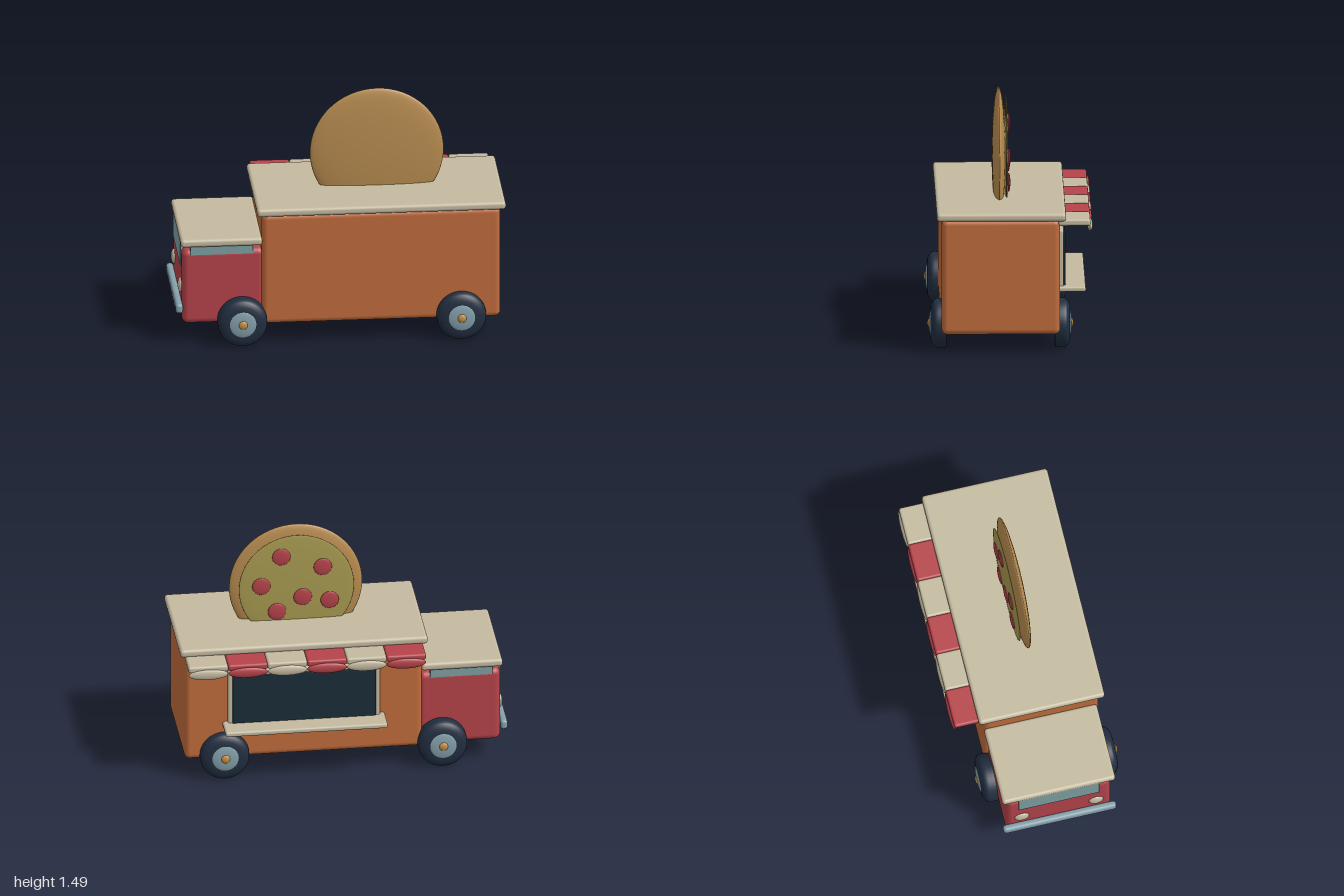
import * as THREE from 'three';
import { RoundedBoxGeometry } from 'three/addons/geometries/RoundedBoxGeometry.js';

const mat = (color) => new THREE.MeshStandardMaterial({ color });
const M = {
  orange: mat(0xc06c3c), red: mat(0xb5434a), cream: mat(0xc4baa0), glass: mat(0x7fa0a2),
  dark: mat(0x1a2e38), tyre: mat(0x212e40), metal: mat(0x85a0aa), gold: mat(0xc88f45),
  crust: mat(0xb88c50), cheese: mat(0xa89a50),
};

// Rounded box given by its extents [min, max] on each axis
function slab(name, material, [x0, x1], [y0, y1], [z0, z1], radius) {
  const mesh = new THREE.Mesh(new RoundedBoxGeometry(x1 - x0, y1 - y0, z1 - z0, 4, radius), material);
  mesh.position.set((x0 + x1) / 2, (y0 + y1) / 2, (z0 + z1) / 2);
  mesh.name = name;
  return mesh;
}

// Ellipsoid given by centre and half-sizes
function blob(name, material, centre, radii, segments = 32) {
  const mesh = new THREE.Mesh(new THREE.SphereGeometry(1, segments, segments / 2), material);
  mesh.position.set(...centre);
  mesh.scale.set(...radii);
  mesh.name = name;
  return mesh;
}

// Wheel with its axle along z and its outer side at +z
function makeWheel() {
  const wheel = new THREE.Group();
  wheel.name = 'wheel';
  const profile = [[0, 0], [0.149, 0], [0.149, 0], [0.15, 0.045], [0.147, 0.066], [0.138, 0.073],
    [0.13, 0.08], [0.11, 0.09], [0.08, 0.094], [0, 0.094]].map(([r, h]) => new THREE.Vector2(r, h));
  const tyre = new THREE.Mesh(new THREE.LatheGeometry(profile, 48), M.tyre);
  tyre.rotation.x = Math.PI / 2;
  tyre.name = 'tyre';
  wheel.add(tyre,
    blob('rim', M.metal, [0, 0, 0.086], [0.09, 0.09, 0.018]),
    blob('hubCap', M.gold, [0, 0, 0.1], [0.028, 0.028, 0.014], 16));
  return wheel;
}

// Round pizza sign standing on the roof, toppings towards the serving side
function makePizza() {
  const pizza = new THREE.Group();
  pizza.name = 'pizzaSign';
  pizza.position.set(0.245, 1.09, 0);
  pizza.add(
    blob('crust', M.crust, [0, 0, 0.06], [0.405, 0.405, 0.042], 64),
    blob('cheese', M.cheese, [0, 0, 0.016], [0.35, 0.35, 0.013], 64));
  const spots = [[0.094, 0.216], [0.216, 0.025], [-0.158, 0.135], [-0.036, -0.06], [-0.2, -0.09], [0.12, -0.15]];
  for (const [x, y] of spots) pizza.add(blob('pepperoni', M.red, [x, y, 0.001], [0.056, 0.056, 0.01], 24));
  return pizza;
}

// Striped awning with a hanging scallop on each stripe
function makeAwning() {
  const awning = new THREE.Group();
  awning.name = 'awning';
  const width = 1.445 / 6;
  for (let i = 0; i < 6; i++) {
    const x = -0.48 + i * width;
    const material = i % 2 ? M.cream : M.red;
    awning.add(
      slab('awningStripe', material, [x, x + width], [0.797, 0.838], [-0.482, -0.29], 0.014),
      blob('awningScallop', material, [x + width / 2, 0.784, -0.48], [width / 2, 0.034, 0.017]));
  }
  return awning;
}

export function createModel() {
  const truck = new THREE.Group();
  truck.name = 'pizzaTruck';

  // Kitchen body and roof
  truck.add(
    slab('kitchenBody', M.orange, [-0.48, 0.965], [0.125, 0.835], [-0.3, 0.415], 0.035),
    slab('kitchenRoof', M.cream, [-0.51, 0.995], [0.83, 0.88], [-0.335, 0.445], 0.02));

  // Cab with its windows, lights and bumper
  truck.add(
    slab('cabBody', M.red, [-0.96, -0.46], [0.125, 0.605], [-0.275, 0.375], 0.04),
    slab('cabRoof', M.cream, [-0.97, -0.475], [0.63, 0.68], [-0.3, 0.4], 0.02),
    slab('cabSideWindow', M.glass, [-0.91, -0.53], [0.5, 0.64], [-0.274, 0.374], 0.004),
    slab('windshield', M.glass, [-0.967, -0.93], [0.48, 0.64], [-0.2, 0.3], 0.004),
    slab('bumper', M.metal, [-1, -0.957], [0.205, 0.265], [-0.3, 0.4], 0.018));
  for (const z of [-0.18, 0.28]) truck.add(blob('headlight', M.cream, [-0.962, 0.35, z], [0.018, 0.045, 0.045]));

  // Serving hatch and counter
  truck.add(
    slab('hatchFrame', M.cream, [-0.22, 0.705], [0.36, 0.715], [-0.325, -0.28], 0.01),
    slab('hatchOpening', M.dark, [-0.193, 0.678], [0.36, 0.688], [-0.335, -0.28], 0.004),
    slab('counter', M.cream, [-0.25, 0.735], [0.34, 0.372], [-0.458, -0.28], 0.012),
    makeAwning(), makePizza());

  // Wheels, mirrored by turning them to the other side
  for (const x of [-0.6, 0.725]) {
    for (const side of [1, -1]) {
      const wheel = makeWheel();
      wheel.position.set(x, 0.152, 0.0575 + side * 0.328);
      if (side < 0) wheel.rotation.y = Math.PI;
      truck.add(wheel);
    }
  }
  return truck;
}
